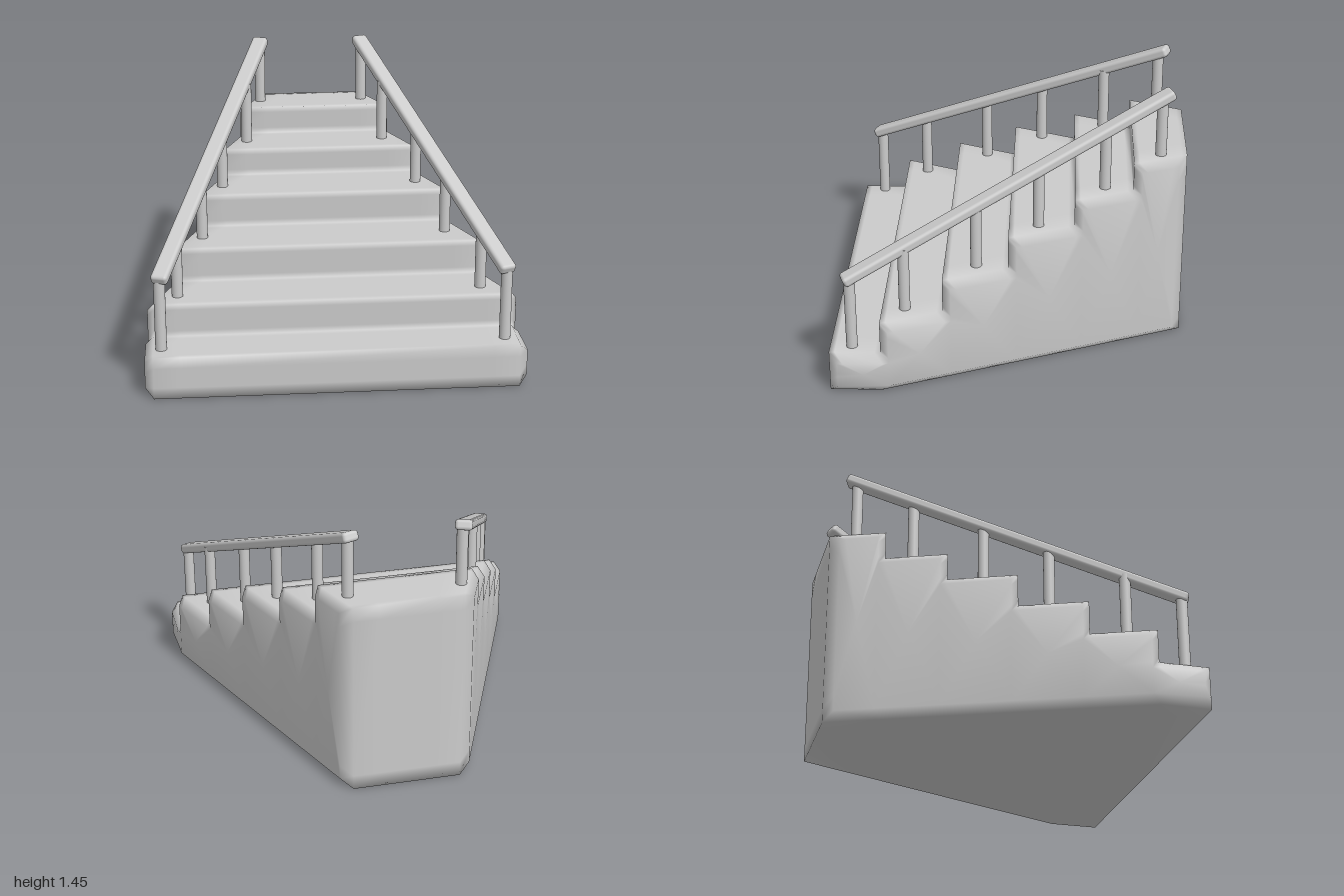
import * as THREE from 'three';
import { RoundedBoxGeometry } from 'three/addons/geometries/RoundedBoxGeometry.js';

const material = new THREE.MeshStandardMaterial({ color: 0xcccccc });

// Riser positions (front to back), tread heights and main sizes
const riserZ = [0.935, 0.665, 0.345, 0.005, -0.34, -0.65];
const treadY = [0.23, 0.41, 0.595, 0.775, 0.925, 1.08];
const backZ = -0.935;
const bevel = 0.045;
const halfWidth = (z) => (z > 0.66 ? 1 : 1 - 0.417 * (0.66 - z));

// Points along an edge, with extra ones near its ends to keep the faces flat
function edge(z0, y0, z1, y1, margin) {
  const t = margin / Math.hypot(z1 - z0, y1 - y0);
  return [0, t, 1 - t].map((k) => [z0 + (z1 - z0) * k, y0 + (y1 - y0) * k]);
}

// Stair outline in (z, y), drawn inwards by inset
function stairProfile(inset) {
  const zs = [...riserZ.map((z) => z - inset), backZ + inset];
  const ys = treadY.map((y) => y - inset);
  const points = [];
  ys.forEach((y, i) => {
    points.push(...edge(zs[i], i ? ys[i - 1] : inset, zs[i], y, i ? 0.03 : 0.06));
    points.push(...edge(zs[i], y, zs[i + 1], y, 0.03));
  });
  points.push(...edge(zs[6], ys[5], zs[6], inset, 0.08));
  for (let i = 6; i > 0; i--) points.push([zs[i], inset]);
  return { points, zs, ys };
}

// Solid flight: the outline lofted across x, tapering to the back, bevelled at the sides
function createStairs() {
  const full = stairProfile(0);
  const outer = stairProfile(bevel);
  const sections = [
    [-1, outer, 0], [-1, full, bevel], [-1, full, 0.18],
    [1, full, 0.18], [1, full, bevel], [1, outer, 0],
  ];
  const positions = [];
  const index = [];
  const n = full.points.length;
  for (const [side, profile, margin] of sections) {
    for (const [z, y] of profile.points) positions.push(side * (halfWidth(z) - margin), y, z);
  }
  for (let k = 0; k < sections.length - 1; k++) {
    for (let j = 0; j < n; j++) {
      const a = k * n + j, d = k * n + ((j + 1) % n);
      index.push(a, a + n, d + n, a, d + n, d);
    }
  }
  // Side walls, one fan per step
  for (const side of [-1, 1]) {
    const start = side < 0 ? 0 : (sections.length - 1) * n;
    outer.ys.forEach((top, i) => {
      const z0 = outer.zs[i], z1 = outer.zs[i + 1];
      const ring = [];
      outer.points.forEach(([z, y], j) => {
        if (z < z0 + 1e-5 && z > z1 - 1e-5 && y < top + 1e-5) ring.push(start + j);
      });
      const centre = positions.length / 3;
      positions.push(side * (halfWidth(z0) + halfWidth(z1)) / 2, (top + bevel) / 2, (z0 + z1) / 2);
      ring.forEach((a, j) => {
        const b = ring[(j + 1) % ring.length];
        if (side < 0) index.push(centre, a, b);
        else index.push(centre, b, a);
      });
    });
  }
  const geometry = new THREE.BufferGeometry();
  geometry.setAttribute('position', new THREE.Float32BufferAttribute(positions, 3));
  geometry.setIndex(index);
  geometry.computeVertexNormals();
  const stairs = new THREE.Mesh(geometry, material);
  stairs.name = 'stairs';
  return stairs;
}

// Sloping handrail with one post on each tread
function createRailing(side) {
  const railing = new THREE.Group();
  railing.name = side > 0 ? 'leftRailing' : 'rightRailing';

  const low = new THREE.Vector3(side * 0.903, 0.622, 0.855);
  const high = new THREE.Vector3(side * 0.287, 1.435, -0.848);
  const handrail = new THREE.Mesh(
    new RoundedBoxGeometry(0.09, 0.055, low.distanceTo(high), 2, 0.018), material);
  handrail.name = 'handrail';
  handrail.position.addVectors(low, high).multiplyScalar(0.5);
  handrail.lookAt(high);
  railing.add(handrail);

  const posts = [[0.9, 0.82], [0.81, 0.545], [0.668, 0.175], [0.545, -0.15], [0.392, -0.5], [0.298, -0.795]];
  posts.forEach(([x, z], i) => {
    const bottom = treadY[i] - 0.02;
    const top = THREE.MathUtils.mapLinear(z, low.z, high.z, low.y, high.y);
    const post = new THREE.Mesh(new THREE.CylinderGeometry(0.03, 0.03, top - bottom, 20), material);
    post.name = 'post';
    post.position.set(side * x, (top + bottom) / 2, z);
    railing.add(post);
  });
  railing.position.x = -0.012;
  return railing;
}

export function createModel() {
  const model = new THREE.Group();
  model.name = 'staircase';
  model.add(createStairs(), createRailing(1), createRailing(-1));
  return model;
}
